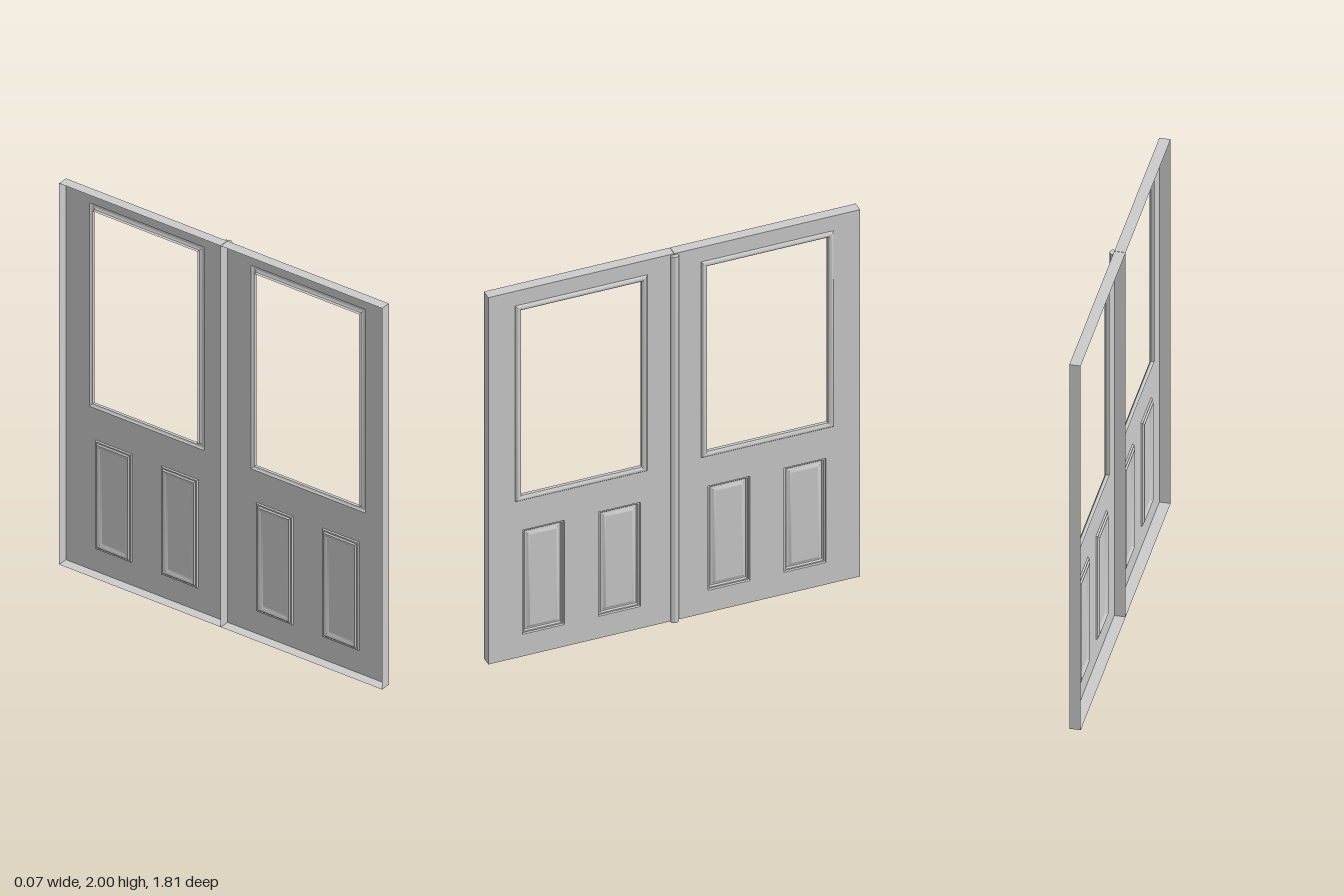
import * as THREE from 'three';
import { toCreasedNormals } from 'three/addons/utils/BufferGeometryUtils.js';

const material = new THREE.MeshStandardMaterial({ color: 0xcccccc, side: THREE.DoubleSide });
const FACE = 0.015, BACK = -0.037, HALF = 0.903, TOP = 2;

function addMesh(parent, name, geometry) {
  const mesh = new THREE.Mesh(geometry, material);
  mesh.name = name;
  parent.add(mesh);
}

// Corners of a rectangle [x0, y0, x1, y1], inset by d, counter-clockwise
const corners = ([x0, y0, x1, y1], d = 0) => [
  [x0 + d, y0 + d], [x1 - d, y0 + d], [x1 - d, y1 - d], [x0 + d, y1 - d],
];

// Sweeps a profile of [inset, depth] points round a rectangle with mitred corners
function frame(rect, profile) {
  const pos = [];
  for (let k = 0; k < profile.length - 1; k++) {
    const [d0, z0] = profile[k], [d1, z1] = profile[k + 1];
    const p = corners(rect, d0), q = corners(rect, d1);
    for (let i = 0; i < 4; i++) {
      const j = (i + 1) % 4;
      const a = [...p[i], z0], b = [...p[j], z0], c = [...q[j], z1], d = [...q[i], z1];
      pos.push(...a, ...b, ...c, ...a, ...c, ...d);
    }
  }
  const g = new THREE.BufferGeometry();
  g.setAttribute('position', new THREE.Float32BufferAttribute(pos, 3));
  return toCreasedNormals(g, 0.7);
}

// Flat sheet with rectangular holes
function sheet(rect, depth, holes = []) {
  const points = (r) => corners(r).map(([x, y]) => new THREE.Vector2(x, y));
  const shape = new THREE.Shape(points(rect));
  for (const h of holes) shape.holes.push(new THREE.Path(points(h).reverse()));
  return new THREE.ShapeGeometry(shape).translate(0, 0, depth);
}

const windowProfile = [
  [0, FACE], [0.003, 0.021], [0.009, 0.026], [0.017, 0.026],
  [0.023, 0.022], [0.028, 0.018], [0.028, 0.002],
];
const FIELD_INSET = 0.038, FIELD = 0.011;
const panelProfile = [
  [0, FACE], [0.003, 0.007], [0.01, 0.008], [0.016, 0.001],
  [0.021, 0.001], [0.03, 0.007], [FIELD_INSET, FIELD],
];

function door(side) {
  const group = new THREE.Group();
  group.name = side > 0 ? 'rearDoor' : 'frontDoor';
  const rect = (a, y0, b, y1) => (side > 0 ? [a, y0, b, y1] : [-b, y0, -a, y1]);
  const outline = rect(0.001, 0, HALF, TOP);
  const glazing = rect(0.131, 0.853, 0.773, 1.92);
  const panels = [rect(0.163, 0.12, 0.368, 0.688), rect(0.533, 0.12, 0.738, 0.688)];

  // Door skin and its edge walls, open at the back
  addMesh(group, 'doorFace', sheet(outline, FACE, [glazing, ...panels]));
  addMesh(group, 'doorEdges', frame(outline, [[0, BACK], [0, FACE]]));
  addMesh(group, 'windowMoulding', frame(glazing, windowProfile));

  // Lower raised panels
  for (const p of panels) {
    addMesh(group, 'panelMoulding', frame(p, panelProfile));
    const [x0, y0, x1, y1] = p, d = FIELD_INSET;
    addMesh(group, 'panelField', sheet([x0 + d, y0 + d, x1 - d, y1 - d], FIELD));
  }
  return group;
}

// Rounded strip covering the joint between the doors
function meetingStrip() {
  const s = new THREE.Shape();
  s.moveTo(-0.019, -FACE);
  s.lineTo(0.019, -FACE);
  s.lineTo(0.019, -0.026);
  s.quadraticCurveTo(0.018, -0.03, 0.011, -0.031);
  s.quadraticCurveTo(0.008, -0.037, 0, -0.037);
  s.quadraticCurveTo(-0.008, -0.037, -0.011, -0.031);
  s.quadraticCurveTo(-0.018, -0.03, -0.019, -0.026);
  s.closePath();
  const g = new THREE.ExtrudeGeometry(s, { depth: TOP - 0.006, bevelEnabled: false, curveSegments: 6 });
  return toCreasedNormals(g.rotateX(-Math.PI / 2), 0.6);
}

export function createModel() {
  const model = new THREE.Group();
  model.name = 'doubleDoor';
  // Built facing +z, then turned to face +x
  const doors = new THREE.Group();
  doors.name = 'doors';
  doors.rotation.y = Math.PI / 2;
  doors.add(door(1), door(-1));
  addMesh(doors, 'meetingStrip', meetingStrip());
  model.add(doors);
  return model;
}
